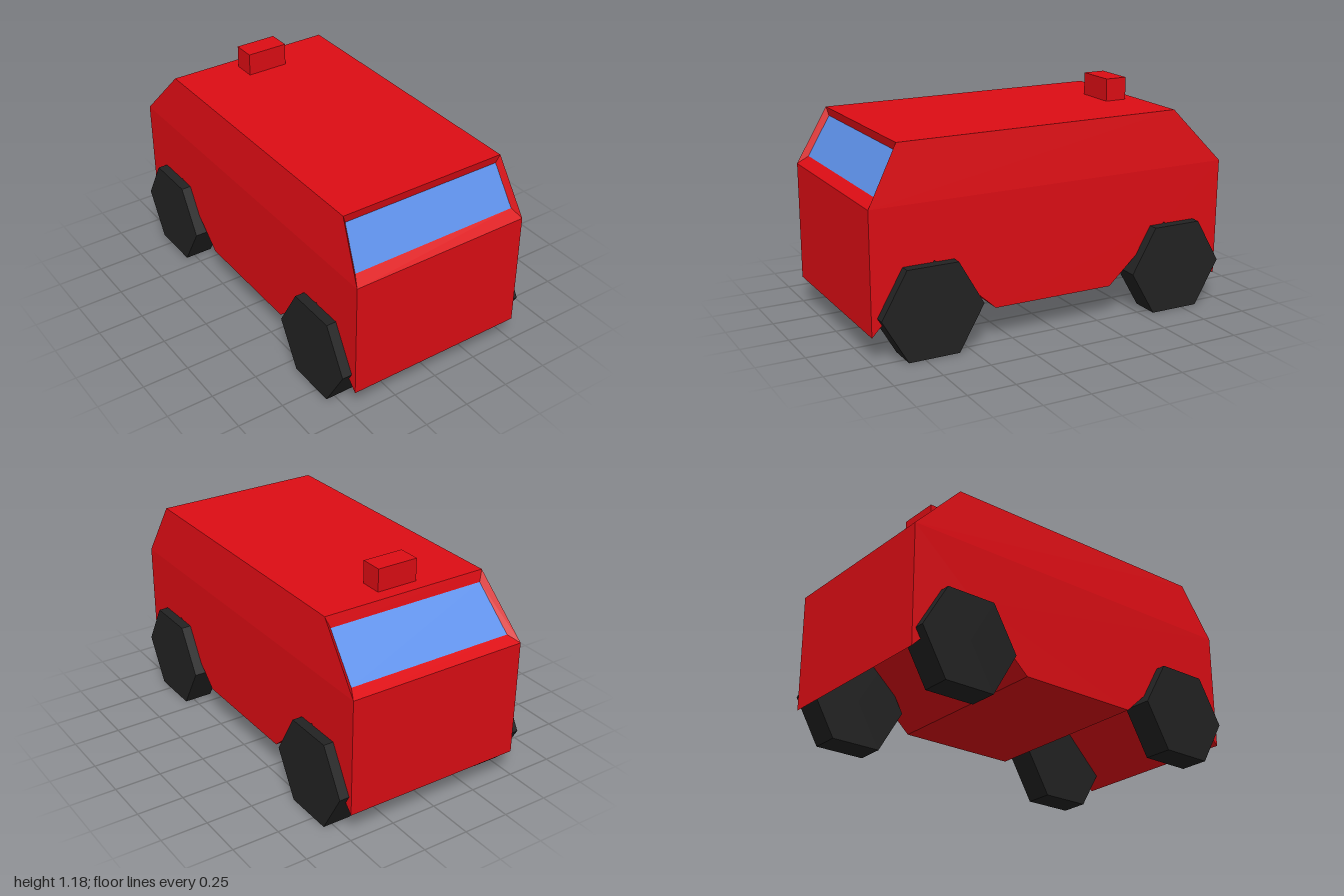
import * as THREE from 'three';

const HALF = 0.495, ROOF_HALF = 0.463;   // half widths at waist and roof
const WAIST = 0.77, ROOF = 1.065;        // heights

const paint = new THREE.MeshStandardMaterial({ color: 0xdd0d14, flatShading: true });
const glass = new THREE.MeshStandardMaterial({ color: 0x5f92ec, flatShading: true });
const rubber = new THREE.MeshStandardMaterial({ color: 0x222222, flatShading: true });

// Flat four-sided faces, corners counter-clockwise seen from outside
function quads(list) {
  const pos = [];
  for (const [a, b, c, d] of list) pos.push(...a, ...b, ...c, ...a, ...c, ...d);
  const geo = new THREE.BufferGeometry();
  geo.setAttribute('position', new THREE.Float32BufferAttribute(pos, 3));
  geo.computeVertexNormals();
  return geo;
}

// Four corners of an end panel; end is +1 for the front, -1 for the back
function panel(end, wLow, yLow, zLow, wTop, yTop, zTop) {
  return [[-wLow * end, yLow, zLow], [wLow * end, yLow, zLow],
    [wTop * end, yTop, zTop], [-wTop * end, yTop, zTop]];
}

export function createModel() {
  const van = new THREE.Group();
  van.name = 'van';
  const add = (name, geo, mat) => {
    const mesh = new THREE.Mesh(geo, mat);
    mesh.name = name;
    van.add(mesh);
    return mesh;
  };

  // Lower body: side profile (z, y) with triangular wheel arches
  const profile = [[1, WAIST], [1, 0.14], [0.67, 0.476], [0.34, 0.175],
    [-0.325, 0.175], [-0.657, 0.476], [-0.993, 0.14], [-1, WAIST]];
  const shape = new THREE.Shape(profile.map(([z, y]) => new THREE.Vector2(z, y)));
  const lower = new THREE.ExtrudeGeometry(shape, { depth: 2 * HALF, bevelEnabled: false });
  lower.rotateY(-Math.PI / 2).translate(HALF, 0, 0);
  add('lowerBody', lower, paint);

  // Cabin: roof, leaning sides and bevelled frames around the sunken windows
  const front = panel(1, HALF, WAIST, 1, ROOF_HALF, ROOF, 0.84);
  const back = panel(-1, HALF, WAIST, -1, ROOF_HALF, ROOF, -0.72);
  const frontGlass = panel(1, 0.467, 0.81, 0.945, 0.445, 1.02, 0.831);
  const backGlass = panel(-1, 0.462, 0.797, -0.935, 0.441, 1.007, -0.735);
  const faces = [
    [front[3], front[2], back[3], back[2]],
    [front[1], back[0], back[3], front[2]],
    [back[1], front[0], front[3], back[2]],
  ];
  for (const [outer, inner] of [[front, frontGlass], [back, backGlass]]) {
    for (let i = 0; i < 4; i++) {
      const j = (i + 1) % 4;
      faces.push([outer[i], outer[j], inner[j], inner[i]]);
    }
  }
  add('cabin', quads(faces), paint);
  add('windscreen', quads([frontGlass]), glass);
  add('rearWindow', quads([backGlass]), glass);

  // Roof box
  add('roofBox', new THREE.BoxGeometry(0.225, 0.13, 0.12), paint).position.set(0, 1.12, -0.588);

  // Six-sided wheels
  const wheel = new THREE.CylinderGeometry(0.27, 0.27, 0.155, 6).rotateZ(Math.PI / 2);
  for (const [end, z] of [['front', 0.7], ['rear', -0.705]]) {
    for (const [side, s] of [['Left', 1], ['Right', -1]]) {
      add(end + side + 'Wheel', wheel, rubber).position.set(s * 0.47, 0.234, z);
    }
  }
  return van;
}
